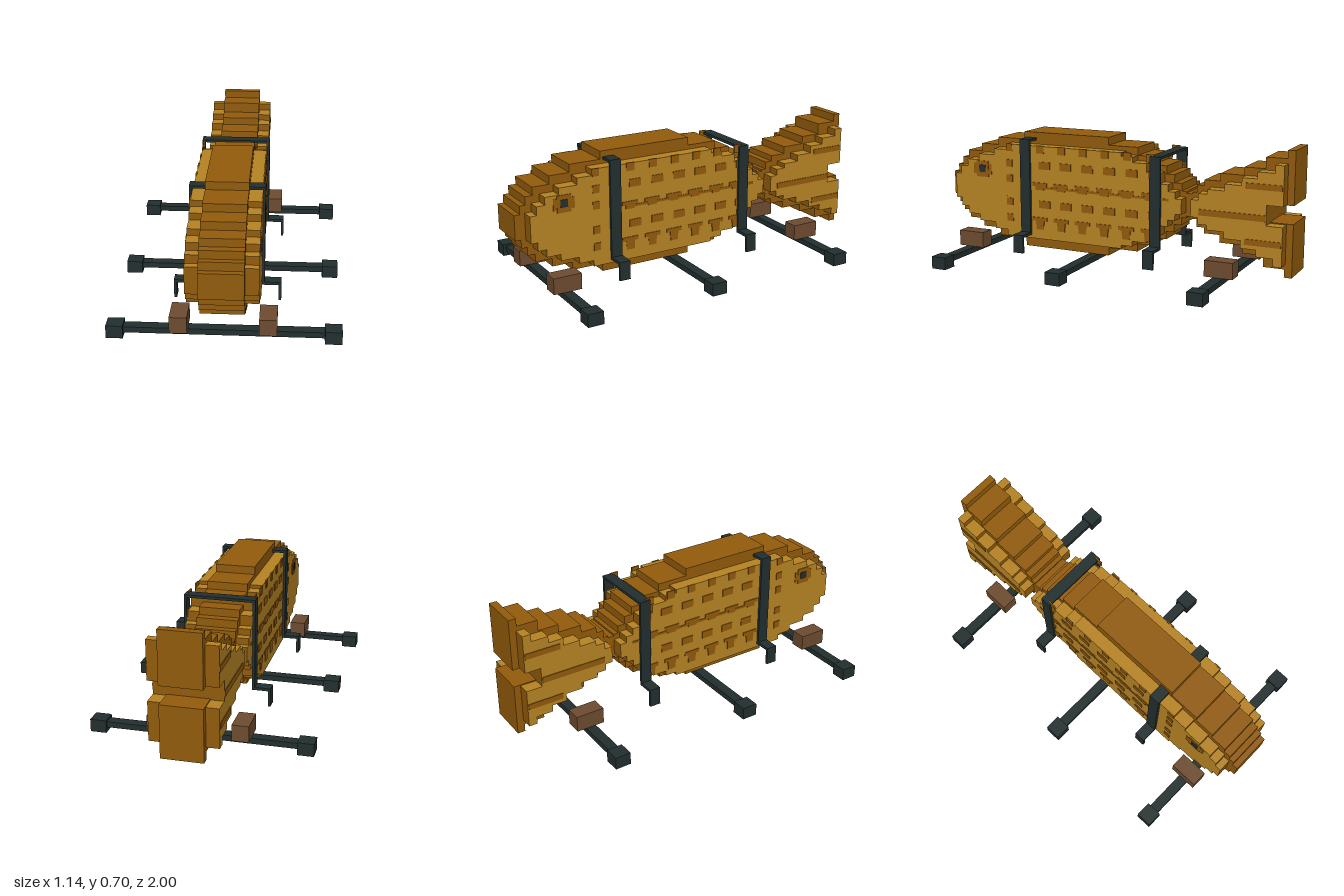
import * as THREE from 'three';

const mat = (name, color) => Object.assign(new THREE.MeshStandardMaterial({ color }), { name });

export function createModel() {
  const brown = mat('brown', 0x935c0c);
  const gold = mat('gold', 0xb88424);
  const dark = mat('dark metal', 0x232f2f);
  const wood = mat('wood', 0x6e4c30);
  const model = new THREE.Group();
  model.name = 'fishOnRack';

  const group = (name) => {
    const g = new THREE.Group();
    g.name = name;
    model.add(g);
    return g;
  };
  // Box given by its limits on each axis
  const box = (parent, name, m, x0, x1, y0, y1, z0, z1) => {
    const mesh = new THREE.Mesh(new THREE.BoxGeometry(x1 - x0, y1 - y0, Math.abs(z1 - z0)), m);
    mesh.position.set((x0 + x1) / 2, (y0 + y1) / 2, (z0 + z1) / 2);
    mesh.name = name;
    parent.add(mesh);
  };

  const MID = 0.378, CORE = 0.107, SIDE = 0.173;
  // Gold flanks have brown faces towards front and back
  const flank = [gold, gold, gold, gold, brown, brown];
  // Stepped body: list of [start z, half height], the last entry closes it
  const steps = (parent, name, m, w, list, gap = 0, gapZ = -9) => {
    for (let i = 0; i < list.length - 1; i++) {
      const [z, h] = list[i], end = list[i + 1][0];
      if (z <= gapZ) {
        box(parent, name, m, -w, w, MID + gap, MID + h, z, end);
        box(parent, name, m, -w, w, MID - h, MID - gap, z, end);
      } else box(parent, name, m, -w, w, MID - h, MID + h, z, end);
    }
  };

  // Body
  const body = group('body');
  steps(body, 'bodyCore', brown, CORE, [
    [1, 0.066], [0.97, 0.11], [0.94, 0.153], [0.9, 0.195], [0.81, 0.238], [0.7, 0.28],
    [0.53, 0.322], [0.015, 0.28], [-0.155, 0.238], [-0.24, 0.195], [-0.32, 0.153],
    [-0.365, 0.11], [-0.405, 0.07], [-0.43, 0]]);
  steps(body, 'bodyFlank', flank, SIDE, [
    [0.945, 0.07], [0.91, 0.115], [0.865, 0.155], [0.79, 0.19], [0.69, 0.225], [0.61, 0.257],
    [-0.09, 0.238], [-0.155, 0.21], [-0.235, 0.165], [-0.31, 0.11], [-0.355, 0.075],
    [-0.395, 0.04], [-0.43, 0]]);
  box(body, 'neck', brown, -CORE, CORE, MID - 0.06, MID + 0.06, -0.43, -0.465);

  // Forked tail
  const tail = group('tail');
  steps(tail, 'tailCore', brown, CORE, [
    [-0.465, 0.07], [-0.49, 0.11], [-0.53, 0.14], [-0.615, 0.18], [-0.74, 0.222],
    [-0.85, 0.28], [-0.88, 0.28], [-0.96, 0.322], [-1, 0]], 0.047, -0.88);
  steps(tail, 'tailFlank', flank, SIDE, [
    [-0.48, 0.045], [-0.52, 0.08], [-0.57, 0.105], [-0.66, 0.14], [-0.75, 0.18],
    [-0.83, 0.215], [-0.88, 0.215], [-0.92, 0.255], [-0.965, 0]], 0.052, -0.88);

  // Painted scales, eyes and tail stripes on both flanks
  const marks = group('markings');
  for (const s of [-1, 1]) {
    const plate = (name, m, z, y, w, h, t = 0.004) =>
      box(marks, name, m, s * SIDE - t, s * SIDE + t, y - h / 2, y + h / 2, z - w / 2, z + w / 2);
    for (let i = 0; i < 6; i++) {
      const z = 0.37 - i * 0.13;
      plate('scale', brown, z + 0.025, 0.617, 0.045, 0.042);
      plate('scale', brown, z, 0.53, 0.068, 0.04);
      plate('scale', brown, z, 0.315, 0.068, 0.04);
      plate('scale', brown, z + 0.03, 0.195, 0.045, 0.04);
      for (const y of [0.425, 0.232]) {
        plate('scaleBar', brown, z + 0.03, y, 0.09, 0.02);
        plate('scaleTip', brown, z + 0.03, y - 0.02, 0.05, 0.02);
      }
    }
    plate('scaleLine', brown, 0.02, 0.408, 0.76, 0.012, 0.003);
    for (const y of [0.617, 0.53, 0.445, 0.315, 0.225]) plate('gillSpot', brown, 0.59, y, 0.038, 0.04);
    plate('eyeRing', brown, 0.765, 0.485, 0.075, 0.09);
    plate('eyeRing', brown, 0.765, 0.485, 0.115, 0.06, 0.003);
    plate('eye', dark, 0.765, 0.487, 0.04, 0.04, 0.007);
    plate('tailStripe', brown, -0.7, 0.362, 0.35, 0.032);
    plate('tailStripe', brown, -0.865, 0.52, 0.19, 0.03);
    plate('tailStripe', brown, -0.865, 0.235, 0.19, 0.03);
  }

  // Straps over the body with stepped feet
  const T = 0.014;
  for (const [z, top] of [[0.485, 0.67], [-0.287, 0.63]]) {
    const strap = group('strap');
    const z0 = z - 0.03, z1 = z + 0.03;
    box(strap, 'strapTop', dark, -0.187, 0.187, top - T, top, z0, z1);
    for (const s of [-1, 1]) {
      const piece = (name, a, b, y0, y1) =>
        box(strap, name, dark, Math.min(s * a, s * b), Math.max(s * a, s * b), y0, y1, z0, z1);
      piece('strapSide', SIDE, 0.187, 0.14, top - T);
      piece('strapFoot', 0.187, 0.272, 0.14, 0.155);
      piece('strapEnd', 0.258, 0.272, 0.055, 0.14);
    }
  }

  // Cross bars with end caps
  for (const z of [0.8, 0.107, -0.665]) {
    const bar = group('crossBar');
    box(bar, 'barShaft', dark, -0.487, 0.487, 0.025, 0.055, z - 0.027, z + 0.027);
    for (const x of [-0.5285, 0.5285])
      box(bar, 'barCap', dark, x - 0.0415, x + 0.0415, 0, 0.066, z - 0.042, z + 0.042);
  }

  // Wooden chocks on the outer bars
  const chocks = group('chocks');
  for (const z of [0.797, -0.667])
    for (const x of [-0.215, 0.215])
      box(chocks, 'chock', wood, x - 0.043, x + 0.043, 0.055, 0.14, z - 0.076, z + 0.076);

  return model;
}
